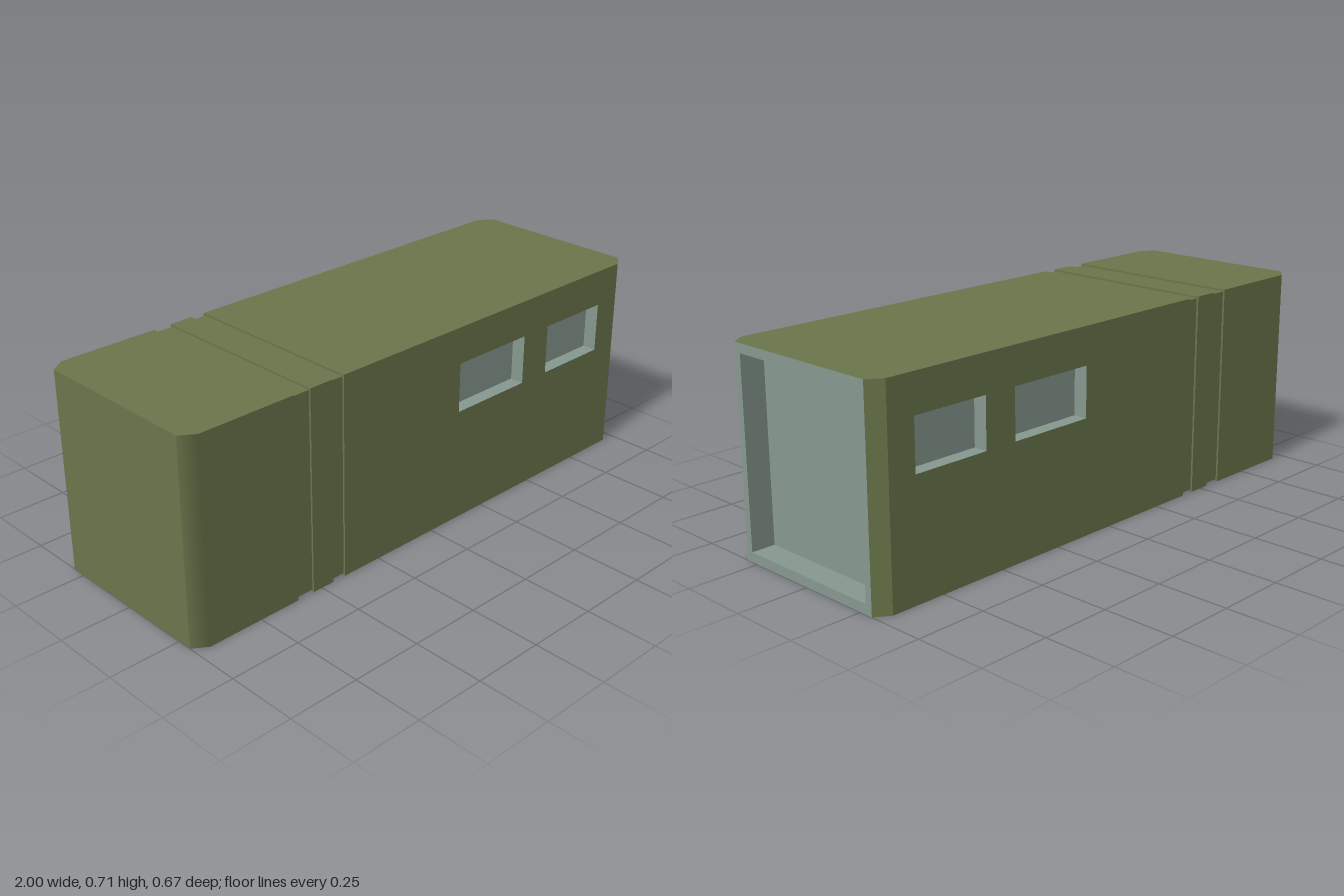
import * as THREE from 'three';

const H = 0.71, Z = 0.335, ZE = 0.3, XC = 0.95; // height, half depth, half depth at ends, chamfer start
const GROOVE = 0.007;

const green = new THREE.MeshStandardMaterial({ color: 0x6a764b });
green.name = 'olive green';
const grey = new THREE.MeshStandardMaterial({ color: 0x869890 });
grey.name = 'grey green';

const polygon = (pts) => new THREE.Shape(pts.map(([x, y]) => new THREE.Vector2(x, y)));
const rectPath = (x0, y0, x1, y1, Type = THREE.Path) =>
  new Type([[x0, y0], [x1, y0], [x1, y1], [x0, y1]].map(([x, y]) => new THREE.Vector2(x, y)));

export function createModel() {
  const model = new THREE.Group();
  model.name = 'cabin';
  const add = (name, geometry, material, parent = model) => {
    const mesh = new THREE.Mesh(geometry, material);
    mesh.name = name;
    parent.add(mesh);
    return mesh;
  };

  // Open box seen from inside: back and four jambs, open towards +z at z = 0
  const recess = (w, h, depth) => {
    const g = new THREE.BoxGeometry(w, h, depth).translate(0, 0, -depth / 2);
    const index = Array.from(g.index.array);
    index.splice(24, 6);
    g.setIndex(index.reverse());
    const n = g.attributes.normal;
    for (let i = 0; i < n.count; i++) n.setXYZ(i, -n.getX(i), -n.getY(i), -n.getZ(i));
    return g;
  };

  // Rear block with softened chamfers
  const rear = new THREE.ExtrudeGeometry(
    polygon([[-0.6, -Z], [-0.6, Z], [-XC, Z], [-1, ZE], [-1, -ZE], [-XC, -Z]]),
    { depth: H, bevelEnabled: false }).rotateX(-Math.PI / 2);
  const p = rear.attributes.position, n = rear.attributes.normal;
  for (let i = 0; i < p.count; i++) {
    const slanted = Math.abs(n.getX(i)) > 0.1 && Math.abs(n.getZ(i)) > 0.1;
    if (slanted && p.getX(i) > -0.97) n.setXYZ(i, 0, 0, Math.sign(n.getZ(i)));
  }
  add('rearBlock', rear, green);

  // Raised band between two shallow grooves running all the way round
  const slice = (name, x0, x1, inset) =>
    add(name, new THREE.BoxGeometry(x1 - x0, H - 2 * inset, 2 * (Z - inset)), green)
      .position.set((x0 + x1) / 2, H / 2, 0);
  slice('rearGroove', -0.6, -0.535, GROOVE);
  slice('raisedBand', -0.535, -0.45, 0);
  slice('frontGroove', -0.45, -0.4, GROOVE);

  // Main cabin: roof and floor
  const plan = [[-0.4, -Z], [XC, -Z], [1, -ZE], [1, ZE], [XC, Z], [-0.4, Z]];
  add('roof', new THREE.ShapeGeometry(polygon(plan)).rotateX(-Math.PI / 2), green).position.y = H;
  add('floor', new THREE.ShapeGeometry(polygon(plan)).rotateX(Math.PI / 2), green);
  add('bulkhead', new THREE.PlaneGeometry(2 * Z, H).rotateY(-Math.PI / 2), green)
    .position.set(-0.4, H / 2, 0);

  // Side walls, with recessed windows and a chamfered corner on each side
  const windows = [[0.122, 0.445], [0.568, 0.85]];
  const y0 = 0.405, y1 = 0.58;
  for (const side of [1, -1]) {
    const group = new THREE.Group();
    group.name = side > 0 ? 'frontSide' : 'backSide';
    if (side < 0) group.rotation.y = Math.PI;
    model.add(group);
    const span = (a, b) => (side > 0 ? [a, b] : [-b, -a]);

    const [w0, w1] = span(-0.4, XC);
    const wall = rectPath(w0, 0, w1, H, THREE.Shape);
    for (const [a, b] of windows) {
      const [x0, x1] = span(a, b);
      wall.holes.push(rectPath(x0, y0, x1, y1));
      add('window', recess(x1 - x0, y1 - y0, 0.05), grey, group)
        .position.set((x0 + x1) / 2, (y0 + y1) / 2, Z);
    }
    add('sideWall', new THREE.ShapeGeometry(wall), green, group).position.z = Z;

    const dx = 1 - XC, dz = Z - ZE;
    const corner = add('cornerChamfer', new THREE.PlaneGeometry(Math.hypot(dx, dz), H), green, group);
    corner.position.set(side * (XC + 1) / 2, H / 2, (Z + ZE) / 2);
    corner.rotation.y = side * Math.atan2(dz, dx);
  }

  // Open end: rim and deep recessed panel
  const rim = rectPath(-ZE, 0, ZE, H, THREE.Shape);
  rim.holes.push(rectPath(-0.275, 0.034, 0.275, 0.678));
  add('endRim', new THREE.ShapeGeometry(rim).rotateY(Math.PI / 2), grey).position.x = 1;
  add('endPanel', recess(0.55, 0.644, 0.085).rotateY(Math.PI / 2), grey).position.set(1, 0.356, 0);

  return model;
}
